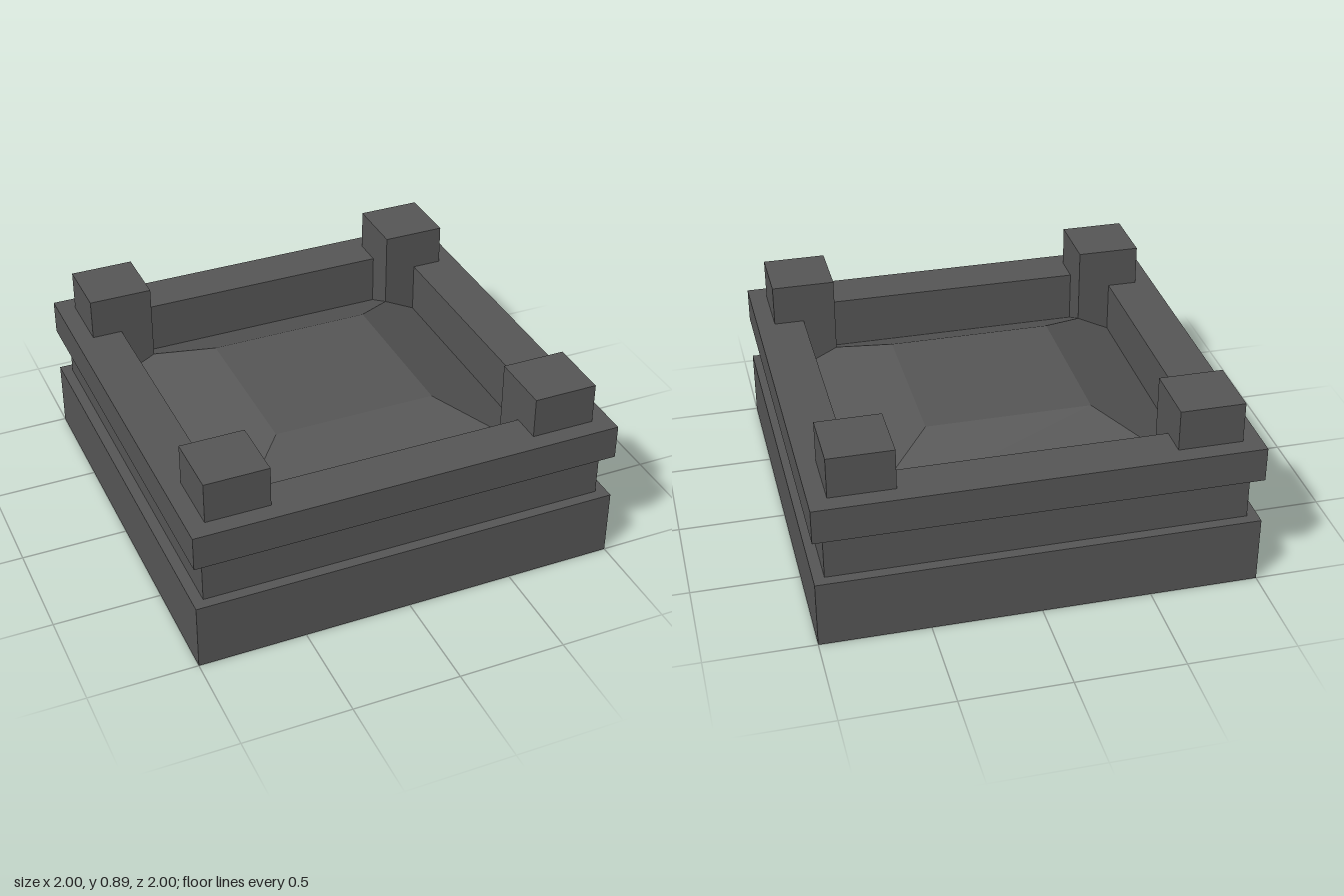
import * as THREE from 'three';

const OPENING = 0.775; // half width of the square opening

// Square frame with a square hole, from y0 to y1
function frame(half, y0, y1) {
  const square = (S, h) => new S([
    new THREE.Vector2(-h, -h), new THREE.Vector2(h, -h),
    new THREE.Vector2(h, h), new THREE.Vector2(-h, h),
  ]);
  const shape = square(THREE.Shape, half);
  shape.holes.push(square(THREE.Path, OPENING));
  const g = new THREE.ExtrudeGeometry(shape, { depth: y1 - y0, bevelEnabled: false });
  return g.rotateX(-Math.PI / 2).translate(0, y0, 0);
}

export function createModel() {
  const model = new THREE.Group();
  model.name = 'squarePlanter';
  const stone = new THREE.MeshStandardMaterial({ color: 0x565656 });
  stone.name = 'dark grey stone';

  const add = (name, geometry) => {
    const mesh = new THREE.Mesh(geometry, stone);
    mesh.name = name;
    model.add(mesh);
    return mesh;
  };

  // Solid plinth, recessed wall and overhanging rim
  add('plinth', new THREE.BoxGeometry(2, 0.316, 2).translate(0, 0.158, 0));
  add('recessedWall', frame(0.95, 0.316, 0.532));
  add('rim', frame(1, 0.532, 0.694));

  // Raised filling: a flat-topped pyramid inside the walls
  const mound = new THREE.CylinderGeometry(0.385 * Math.SQRT2, OPENING * Math.SQRT2, 0.19, 4, 1)
    .rotateY(Math.PI / 4).translate(0, 0.545, 0).toNonIndexed();
  mound.computeVertexNormals();
  add('mound', mound);

  // Corner posts reaching down into the filling
  for (const x of [-1, 1]) {
    for (const z of [-1, 1]) {
      add('cornerPost', new THREE.BoxGeometry(0.296, 0.486, 0.296))
        .position.set(x * 0.768, 0.643, z * 0.768);
    }
  }
  return model;
}
